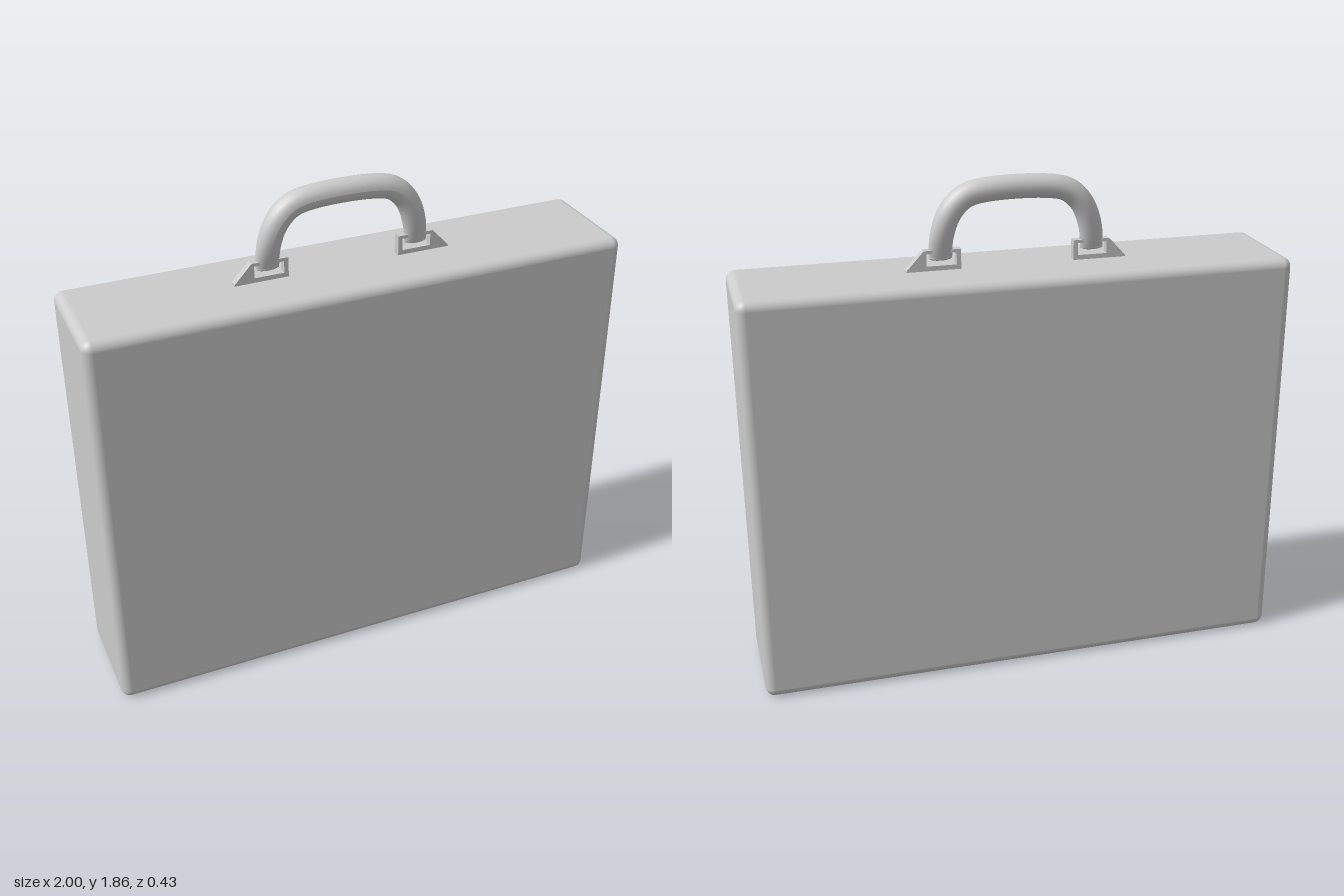
import * as THREE from 'three';
import { RoundedBoxGeometry } from 'three/addons/geometries/RoundedBoxGeometry.js';

const material = new THREE.MeshStandardMaterial({ color: 0xcccccc });

function part(name, geometry, parent) {
  const mesh = new THREE.Mesh(geometry, material);
  mesh.name = name;
  parent.add(mesh);
  return mesh;
}

// Half thickness of the grip in z: thin at the feet, full at the top
const TOP = 1.807, FOOT = 1.575, RADIUS = 0.043;
function halfDepth(y) {
  const t = THREE.MathUtils.clamp((y - FOOT) / (1.77 - FOOT), 0, 1);
  return 0.018 + 0.026 * Math.sin(t * Math.PI / 2);
}

function gripGeometry() {
  const side = [[0.28, FOOT], [0.274, 1.65], [0.243, 1.735], [0.19, 1.788], [0.115, TOP]];
  const right = side.map(([x, y]) => new THREE.Vector3(x, y, 0));
  const left = side.map(([x, y]) => new THREE.Vector3(-x, y, 0)).reverse();
  const path = new THREE.CatmullRomCurve3([...right, ...left]);
  const rings = 36, sides = 20;
  const geometry = new THREE.TubeGeometry(path, rings, RADIUS, sides, false);
  const pos = geometry.attributes.position;
  // Flatten each ring in z according to the height of its centre
  for (let i = 0; i <= rings; i++) {
    const scale = halfDepth(path.getPointAt(i / rings).y) / RADIUS;
    for (let j = 0; j <= sides; j++) {
      const k = i * (sides + 1) + j;
      pos.setZ(k, pos.getZ(k) * scale);
    }
  }
  geometry.computeVertexNormals();
  return geometry;
}

// Sloped plate with a rectangular window that holds the grip's foot
function bracketGeometry() {
  const depth = 0.03;
  const shape = new THREE.Shape();
  shape.moveTo(0.208, 1.525);
  shape.lineTo(0.406, 1.525);
  shape.lineTo(0.406, 1.537);
  shape.lineTo(0.342, 1.606);
  shape.lineTo(0.208, 1.606);
  shape.closePath();
  const hole = new THREE.Path();
  hole.moveTo(0.224, 1.55);
  hole.lineTo(0.224, 1.594);
  hole.lineTo(0.333, 1.594);
  hole.lineTo(0.333, 1.55);
  hole.closePath();
  shape.holes.push(hole);
  return new THREE.ExtrudeGeometry(shape, { depth, bevelEnabled: false }).translate(0, 0, -depth / 2);
}

export function createModel() {
  const model = new THREE.Group();
  model.name = 'briefcase';

  // Case
  const height = 1.533;
  part('case', new RoundedBoxGeometry(2, height, 0.426, 5, 0.035), model).position.y = height / 2;

  // Handle, set slightly off centre
  const handle = new THREE.Group();
  handle.name = 'handle';
  handle.position.x = -0.016;
  model.add(handle);
  part('grip', gripGeometry(), handle);

  // Rounded feet and brackets at both ends of the grip
  for (const [label, s] of [['left', 1], ['right', -1]]) {
    const foot = part(label + 'GripFoot', new THREE.SphereGeometry(1, 20, 10), handle);
    foot.scale.set(RADIUS, 0.01, 0.018);
    foot.position.set(0.28 * s, FOOT, 0);
    const bracket = part(label + 'Bracket', bracketGeometry(), handle);
    bracket.rotation.y = s > 0 ? 0 : Math.PI;
  }
  return model;
}
